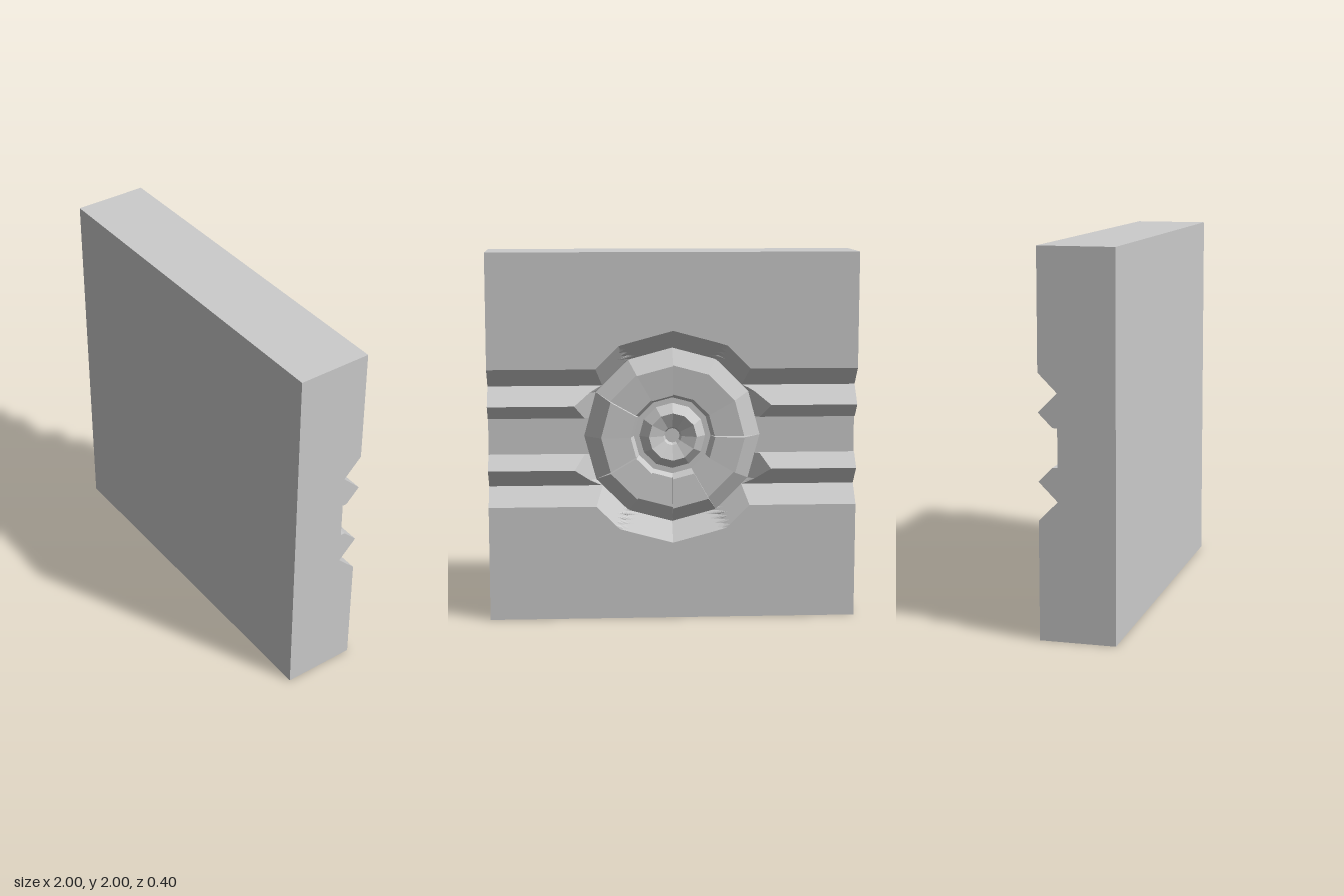
import * as THREE from 'three';

const mat = new THREE.MeshStandardMaterial({ color: 0xcccccc, flatShading: true, side: THREE.DoubleSide });
const FLOOR = 0.1, RIM = 0.58, VALLEY = 0.48, SIDES = 12;

// Lofted surface through rows of points; flip reverses the facing
function loft(rows, flip, name) {
  const pos = [];
  for (let i = 0; i < rows.length - 1; i++) {
    for (let j = 0; j < rows[i].length - 1; j++) {
      const a = rows[i][j], b = rows[i + 1][j], c = rows[i + 1][j + 1], d = rows[i][j + 1];
      pos.push(...(flip ? [a, d, c, a, c, b] : [a, b, c, a, c, d]).flat());
    }
  }
  const g = new THREE.BufferGeometry();
  g.setAttribute('position', new THREE.Float32BufferAttribute(pos, 3));
  g.computeVertexNormals();
  const m = new THREE.Mesh(g, mat);
  m.name = name;
  return m;
}

// Point on the back, at a given depth below its face
const pt = (x, y, depth) => [x, y + 1, -0.2 + depth];

// Depth of the horizontal moulding at height y from the middle
function bandDepth(y) {
  const a = Math.abs(y);
  if (a <= 0.1) return FLOOR;
  if (a <= 0.175) return 0.175 - a;
  return Math.max(0, FLOOR - Math.abs(a - 0.275));
}

// Radius of the twelve-sided ring passing through (x, y)
function ringRadius(x, y) {
  let r = 0;
  for (let k = 0; k < SIDES; k++) {
    const t = (k + 0.5) * Math.PI * 2 / SIDES;
    r = Math.max(r, (x * Math.cos(t) + y * Math.sin(t)) / Math.cos(Math.PI / SIDES));
  }
  return r;
}

// Where a row at height y meets the ring of radius r
function ringX(r, y) {
  if (Math.abs(y) >= r) return 0;
  let lo = 0, hi = r;
  for (let i = 0; i < 30; i++) {
    const mid = (lo + hi) / 2;
    if (ringRadius(mid, y) < r) lo = mid; else hi = mid;
  }
  return lo;
}

// Half of the grooved back, outside the round ornament
function backHalf(side) {
  const ys = [0, 0.1, 0.1001, 0.175, 0.275, 0.375, 0.48, 0.58, 1];
  for (let y = 0.02; y < 0.58; y += 0.02) ys.push(y);
  const sorted = [...ys, ...ys.filter(y => y > 0).map(y => -y)].sort((a, b) => a - b);
  const rows = sorted.map(y => {
    const band = bandDepth(y), x0 = ringX(VALLEY, y), x1 = Math.max(x0, ringX(RIM - band, y));
    const row = [];
    for (let j = 0; j <= 12; j++) {
      const x = x0 + (x1 - x0) * j / 12;
      row.push(pt(side * x, y, Math.min(FLOOR, Math.max(band, RIM - ringRadius(x, y)))));
    }
    row.push(pt(side, y, band), pt(side, y, FLOOR));
    return row;
  });
  // Close the upper and lower edges
  const edge = row => row.map(p => [p[0], p[1], -0.1]);
  rows.unshift(edge(rows[0]));
  rows.push(edge(rows[rows.length - 1]));
  return loft(rows, side < 0, side > 0 ? 'groovedBackLeft' : 'groovedBackRight');
}

// One wedge of the ring, with its end walls
function ringBlock(k, top) {
  const profile = [[VALLEY, FLOOR], [0.39, top], [0.23, top + 0.01], [0.21, 0.085], [0.18, 0.085]];
  const section = n => profile.map(([r, d]) => {
    const t = n * Math.PI * 2 / SIDES;
    return pt(r * Math.cos(t), r * Math.sin(t), d);
  });
  const a = section(k), b = section(k + 1);
  const base = s => s.map(p => [p[0], p[1], -0.1]);
  return loft([base(a), a, b, base(b)], true, 'ringBlock');
}

export function createModel() {
  const model = new THREE.Group();
  model.name = 'reliefTile';

  // Solid slab behind the relief
  const slab = new THREE.Mesh(new THREE.BoxGeometry(2, 2, 0.3), mat);
  slab.name = 'slab';
  slab.position.set(0, 1, 0.05);
  model.add(slab, backHalf(1), backHalf(-1));

  // Ring of high and low blocks
  const ring = new THREE.Group();
  ring.name = 'ring';
  const high = [0, 2, 6, 8, 10];
  for (let k = 0; k < SIDES; k++) ring.add(ringBlock(k, high.includes(k) ? 0 : 0.04));
  model.add(ring);

  // Dished hub with a small central pit
  const hubProfile = [[0.18, 0.085], [0.13, 0.025], [0.05, 0.06], [0.04, 0.09], [0, 0.09]];
  const hub = [];
  for (let k = 0; k <= SIDES; k++) {
    const t = k * Math.PI * 2 / SIDES;
    hub.push(hubProfile.map(([r, d]) => pt(r * Math.cos(t), r * Math.sin(t), d)));
  }
  model.add(loft(hub, true, 'hub'));
  return model;
}
